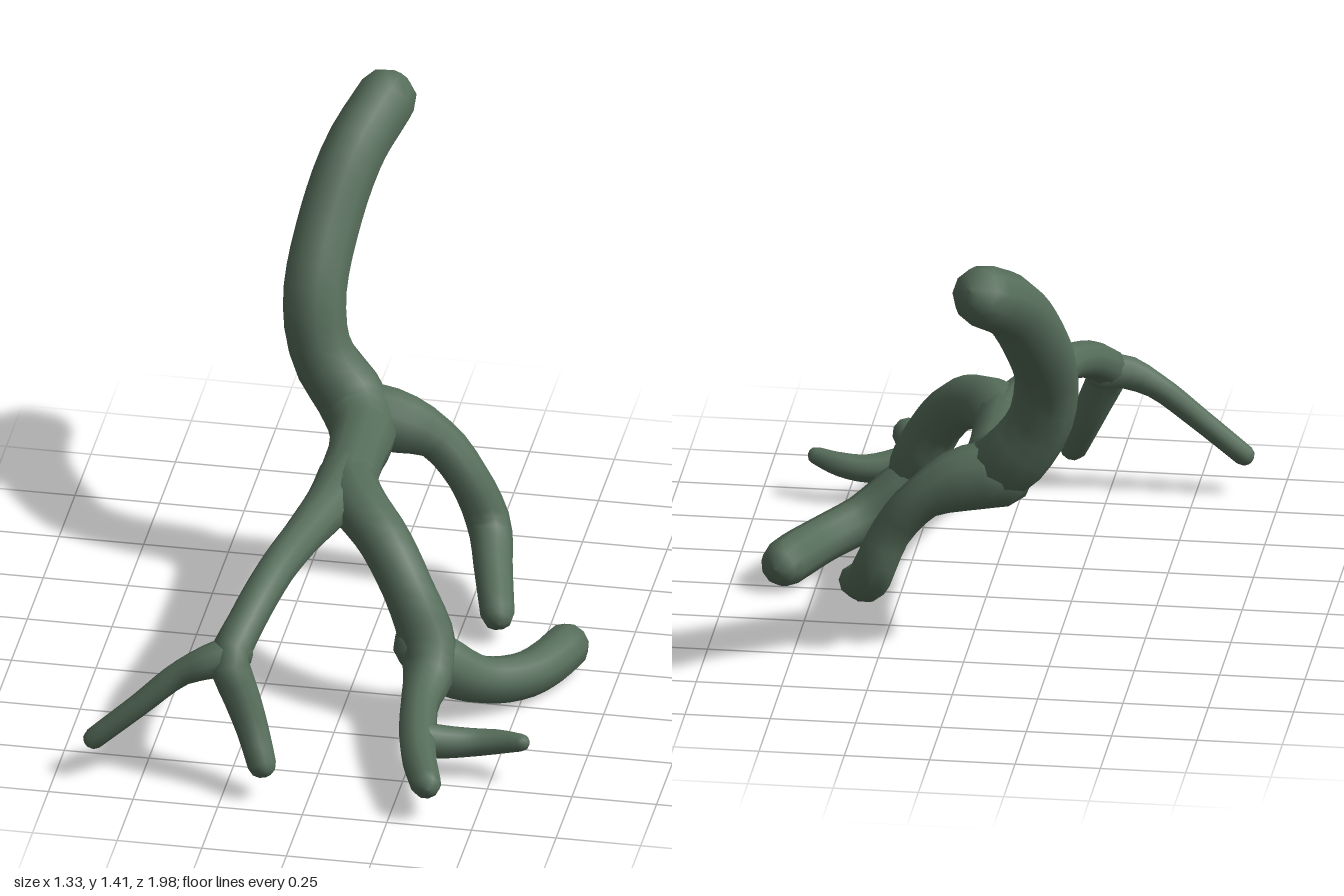
import * as THREE from 'three';

const bark = new THREE.MeshStandardMaterial({ color: 0x566d5a });
bark.name = 'mossy green bark';

const SIDES = 10;

// Tapered limb with rounded ends; each knot is [x, y, z, radius].
function limb(name, knots) {
  const curve = new THREE.CatmullRomCurve3(knots.map(k => new THREE.Vector3(k[0], k[1], k[2])));
  const n = (knots.length - 1) * 3;
  const frames = curve.computeFrenetFrames(n);
  const radiusAt = u => {
    const s = curve.getUtoTmapping(u) * (knots.length - 1);
    const i = Math.min(Math.floor(s), knots.length - 2);
    return THREE.MathUtils.lerp(knots[i][3], knots[i + 1][3], s - i);
  };

  // Rings as [frame index, shift along the tangent, radius]
  const r0 = radiusAt(0), r1 = radiusAt(1);
  const capAngles = [0.65, 1.15, Math.PI / 2];
  const rings = [];
  [...capAngles].reverse().forEach(a => rings.push([0, -0.9 * r0 * Math.sin(a), r0 * Math.cos(a)]));
  for (let i = 0; i <= n; i++) rings.push([i, 0, radiusAt(i / n)]);
  capAngles.forEach(a => rings.push([n, 0.9 * r1 * Math.sin(a), r1 * Math.cos(a)]));

  const positions = [], indices = [];
  rings.forEach(([i, shift, r], j) => {
    const centre = curve.getPointAt(i / n).addScaledVector(frames.tangents[i], shift);
    for (let k = 0; k < SIDES; k++) {
      const a = (k / SIDES) * Math.PI * 2;
      const p = centre.clone()
        .addScaledVector(frames.normals[i], r * Math.cos(a))
        .addScaledVector(frames.binormals[i], r * Math.sin(a));
      positions.push(p.x, p.y, p.z);
      if (j === 0) continue;
      const k2 = (k + 1) % SIDES, lo = (j - 1) * SIDES, hi = j * SIDES;
      indices.push(lo + k, lo + k2, hi + k, lo + k2, hi + k2, hi + k);
    }
  });
  const geometry = new THREE.BufferGeometry();
  geometry.setAttribute('position', new THREE.Float32BufferAttribute(positions, 3));
  geometry.setIndex(indices);
  geometry.computeVertexNormals();
  const mesh = new THREE.Mesh(geometry, bark);
  mesh.name = name;
  return mesh;
}

export function createModel() {
  const group = new THREE.Group();
  group.name = 'branch';

  group.add(
    // Thick stem curving up and back, flowing into the spine
    limb('stem', [
      [-0.11, 1.335, -0.91, 0.092], [-0.175, 1.24, -0.76, 0.095], [-0.22, 1.09, -0.62, 0.095],
      [-0.24, 0.9, -0.475, 0.095], [-0.21, 0.74, -0.43, 0.095], [-0.12, 0.61, -0.41, 0.105],
      [-0.07, 0.56, -0.33, 0.1], [-0.06, 0.56, -0.15, 0.086], [-0.055, 0.56, 0.0, 0.09],
      [-0.05, 0.56, 0.1, 0.08],
    ]),
    // Bent side branch at the back
    limb('backBranch', [
      [-0.1, 0.57, -0.4, 0.1], [0.02, 0.545, -0.41, 0.095], [0.13, 0.49, -0.43, 0.065],
      [0.22, 0.38, -0.425, 0.06], [0.285, 0.23, -0.42, 0.065], [0.325, 0.155, -0.28, 0.056],
      [0.365, 0.095, -0.13, 0.05],
    ]),
    // Long arching branch to the front, ending in a fork
    limb('archBranch', [
      [-0.06, 0.565, -0.02, 0.085], [-0.075, 0.565, 0.12, 0.075], [-0.12, 0.56, 0.32, 0.06],
      [-0.17, 0.54, 0.53, 0.055], [-0.22, 0.47, 0.72, 0.055], [-0.25, 0.395, 0.82, 0.06],
      [-0.215, 0.31, 0.84, 0.055], [-0.17, 0.2, 0.87, 0.047], [-0.135, 0.115, 0.915, 0.042],
    ]),
    limb('archProng', [
      [-0.235, 0.41, 0.79, 0.055], [-0.3, 0.395, 0.825, 0.052], [-0.39, 0.35, 0.835, 0.038],
      [-0.51, 0.245, 0.86, 0.034], [-0.64, 0.13, 0.877, 0.032],
    ]),
    // Drooping branch that runs on to the forked front twig
    limb('droopBranch', [
      [-0.06, 0.56, -0.02, 0.085], [0.0, 0.56, 0.12, 0.085], [0.1, 0.515, 0.24, 0.078],
      [0.19, 0.4, 0.325, 0.075], [0.25, 0.26, 0.36, 0.085], [0.265, 0.19, 0.43, 0.075],
      [0.265, 0.165, 0.56, 0.055], [0.285, 0.14, 0.7, 0.056], [0.31, 0.125, 0.81, 0.052],
      [0.355, 0.12, 0.945, 0.046],
    ]),
    // Blunt branch curling away to the back
    limb('curlBranch', [
      [0.22, 0.25, 0.36, 0.075], [0.29, 0.18, 0.345, 0.09], [0.4, 0.115, 0.295, 0.07],
      [0.5, 0.085, 0.2, 0.068], [0.56, 0.08, 0.09, 0.071], [0.592, 0.083, 0.0, 0.07],
    ]),
    // Small front twig
    limb('twig', [
      [0.285, 0.14, 0.72, 0.052], [0.35, 0.122, 0.695, 0.05], [0.44, 0.115, 0.67, 0.042],
      [0.52, 0.125, 0.67, 0.036], [0.59, 0.14, 0.69, 0.026],
    ]),
  );
  return group;
}
